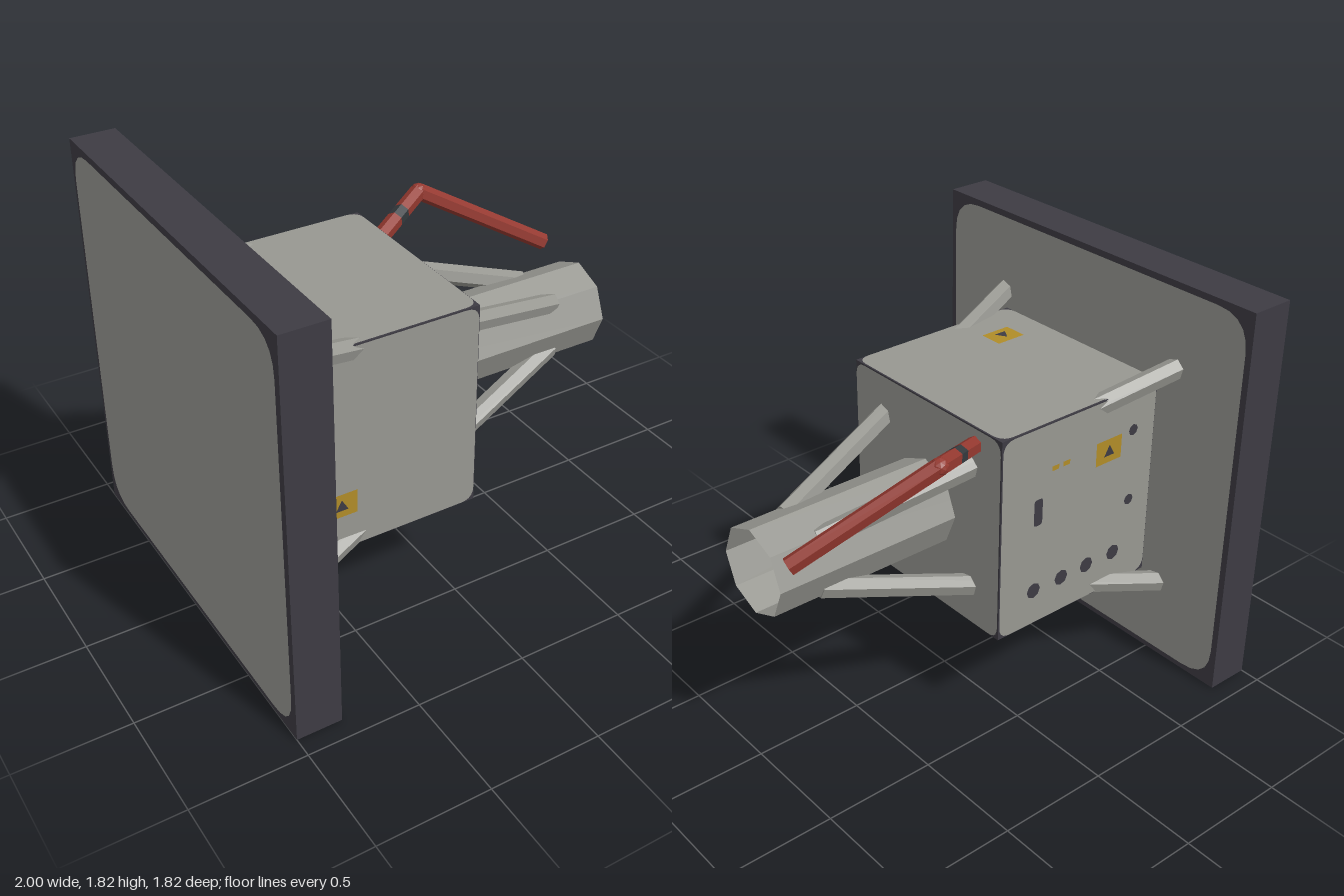
import * as THREE from 'three';

const mat = (name, color, side = THREE.FrontSide) => {
  const m = new THREE.MeshStandardMaterial({ color, side });
  m.name = name;
  m.flatShading = true;
  return m;
};

export function createModel() {
  const grey = mat('metal grey', 0x979791, THREE.DoubleSide);
  const dark = mat('dark trim', 0x3d3b43);
  const red = mat('handle red', 0x94382f);
  const yellow = mat('label yellow', 0xb08c28);
  const band = mat('band charcoal', 0x34393d);

  const model = new THREE.Group();
  const CY = 0.911; // height of the main axis

  const add = (parent, name, geo, material, x = 0, y = 0, z = 0) => {
    const m = new THREE.Mesh(geo, material);
    m.name = name;
    m.position.set(x, y, z);
    parent.add(m);
    return m;
  };

  const roundedRect = (w, h, r) => {
    const s = new THREE.Shape();
    const a = w / 2, b = h / 2;
    s.moveTo(-a + r, -b);
    s.lineTo(a - r, -b);
    s.quadraticCurveTo(a, -b, a, -b + r);
    s.lineTo(a, b - r);
    s.quadraticCurveTo(a, b, a - r, b);
    s.lineTo(-a + r, b);
    s.quadraticCurveTo(-a, b, -a, b - r);
    s.lineTo(-a, -b + r);
    s.quadraticCurveTo(-a, -b, -a + r, -b);
    return new THREE.ShapeGeometry(s, 5);
  };

  // Straight bar between two points
  const bar = (name, a, b, radius, material, sides = 6) => {
    const dir = b.clone().sub(a);
    const m = add(model, name, new THREE.CylinderGeometry(radius, radius, dir.length(), sides), material);
    m.position.copy(a).add(b).multiplyScalar(0.5);
    m.quaternion.setFromUnitVectors(new THREE.Vector3(0, 1, 0), dir.normalize());
    return m;
  };

  // Group on a surface whose local +z points outwards
  const facing = (name, x, y, z, rx, ry) => {
    const g = new THREE.Group();
    g.name = name;
    g.position.set(x, y, z);
    g.rotation.set(rx, ry, 0);
    model.add(g);
    return g;
  };

  // Back plate with a rounded panel on each broad side
  add(model, 'plate', new THREE.BoxGeometry(0.2, 1.82, 1.82), dark, -0.9, 0.91, 0);
  for (const s of [-1, 1]) {
    const g = facing('plateSide', -0.9 + s * 0.1, 0.91, 0, 0, s * Math.PI / 2);
    add(g, 'platePanel', roundedRect(1.765, 1.765, 0.16), grey, 0, 0, 0.003);
  }

  // Central box with panels and warning labels
  const W = 0.86, H = 0.945, CX = -0.33;
  add(model, 'boxBody', new THREE.BoxGeometry(W, H, H), dark, CX, CY, 0);
  const q = Math.PI / 2;
  const faces = [
    ['frontFace', CX, CY, H / 2, 0, 0, W, -0.21, -0.25],
    ['backFace', CX, CY, -H / 2, 0, Math.PI, W, 0.16, 0.23],
    ['topFace', CX, CY + H / 2, 0, -q, 0, W, -0.21, -0.25],
    ['bottomFace', CX, CY - H / 2, 0, q, 0, W, -0.2, 0.25],
    ['rightFace', CX + W / 2, CY, 0, 0, q, H, -0.22, -0.25],
    ['leftFace', CX - W / 2, CY, 0, 0, -q, H, null, null],
  ];
  const face = {};
  for (const [name, x, y, z, rx, ry, w, lx, ly] of faces) {
    const g = face[name] = facing(name, x, y, z, rx, ry);
    add(g, 'boxPanel', roundedRect(w - 0.008, H - 0.008, 0.06), grey, 0, 0, 0.003);
    if (lx === null) continue;
    add(g, 'warningLabel', new THREE.PlaneGeometry(0.145, 0.11), yellow, lx, ly, 0.006);
    add(g, 'warningMark', new THREE.CircleGeometry(0.034, 3, q), dark, lx, ly - 0.005, 0.009);
  }

  // Ports, slot and small marks on the back face
  const back = face.backFace;
  for (const x of [-0.242, -0.084, 0.064, 0.223])
    add(back, 'port', new THREE.CircleGeometry(0.037, 8), dark, x, -0.3, 0.006);
  for (const y of [0.28, -0.06])
    add(back, 'smallPort', new THREE.CircleGeometry(0.026, 8), dark, 0.3, y, 0.006);
  add(back, 'slot', roundedRect(0.046, 0.125, 0.015), dark, -0.23, 0.08, 0.006);
  for (const x of [-0.143, -0.082])
    add(back, 'indicator', new THREE.PlaneGeometry(0.038, 0.022), yellow, x, 0.26, 0.006);

  // Open eight-sided barrel along the main axis
  const barrel = add(model, 'barrel', new THREE.CylinderGeometry(0.195, 0.195, 1.77, 8, 1, true), grey, 0.085, CY, 0);
  barrel.rotation.z = -q;

  // Four converging struts
  for (const sy of [-1, 1]) for (const sz of [-1, 1])
    bar('strut',
      new THREE.Vector3(-0.84, CY + sy * 0.541, sz * 0.541),
      new THREE.Vector3(0.735, CY + sy * 0.113, sz * 0.113), 0.047, grey);

  // Bent handle with a dark band
  const p0 = new THREE.Vector3(0.07, 1.3, -0.297);
  const p1 = new THREE.Vector3(0.42, 1.4, -0.483);
  const p2 = new THREE.Vector3(0.98, 1.085, -0.278);
  const b0 = p0.clone().lerp(p1, 0.49), b1 = p0.clone().lerp(p1, 0.64);
  bar('handleBase', p0, b0, 0.038, red);
  bar('handleBand', b0, b1, 0.038, band);
  bar('handleMiddle', b1, p1, 0.038, red);
  bar('handleGrip', p1, p2, 0.038, red);
  add(model, 'handleElbow', new THREE.IcosahedronGeometry(0.038, 1), red, p1.x, p1.y, p1.z);

  return model;
}
